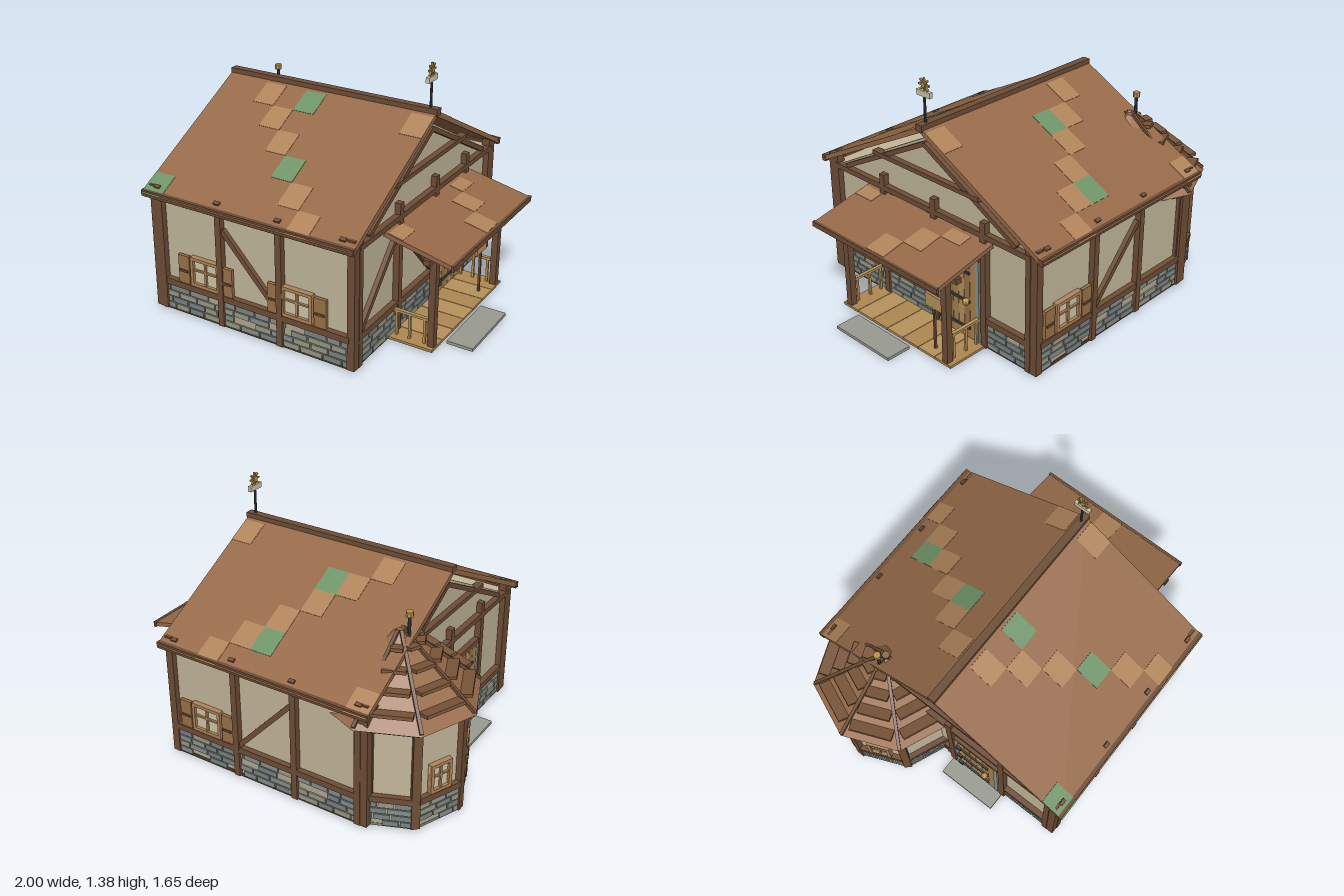
import * as THREE from 'three';

const TIMBER = 0x6f4e36, ROOF = 0x966a49, LIGHT = 0xb0845a, GREEN = 0x6f9468, PLASTER = 0xc4b89c;
const STONES = [0x87908c, 0x9a9a88, 0x7b8583], GROUT = 0xb3aa92, IRON = 0x3c4248, PLANK = 0xb8935c, GOLD = 0xb8924a;

const mats = {};
const mat = (c) => (mats[c] ??= new THREE.MeshStandardMaterial({ color: c, flatShading: true }));

function add(parent, name, geo, color, x = 0, y = 0, z = 0) {
  const m = new THREE.Mesh(geo, mat(color));
  m.name = name;
  m.position.set(x, y, z);
  parent.add(m);
  return m;
}
const box = (p, name, c, w, h, d, x, y, z) => add(p, name, new THREE.BoxGeometry(w, h, d), c, x, y, z);
// Box given by its lower and upper y
const post = (p, name, c, w, d, x, z, y0, y1) => box(p, name, c, w, y1 - y0, d, x, (y0 + y1) / 2, z);

// Beam between two points of a wall's own plane
function brace(p, name, x0, y0, x1, y1, w, d, z) {
  const m = box(p, name, TIMBER, Math.hypot(x1 - x0, y1 - y0), w, d, (x0 + x1) / 2, (y0 + y1) / 2, z);
  m.rotation.z = Math.atan2(y1 - y0, x1 - x0);
}

function group(parent, name, x = 0, y = 0, z = 0, turn = 0) {
  const g = new THREE.Group();
  g.name = name;
  g.position.set(x, y, z);
  g.rotation.y = turn;
  parent.add(g);
  return g;
}

let seed = 7;
const rnd = () => (seed = (seed * 16807) % 2147483647) / 2147483647;

// Rough courses of stone with a sill beam on top; the wall faces local +z
function stoneBase(p, x0, x1) {
  box(p, 'mortar', GROUT, x1 - x0, 0.145, 0.014, (x0 + x1) / 2, 0.0925, 0.005);
  for (let row = 0; row < 4; row++) {
    let x = x0 + 0.004 - (row % 2 ? 0.04 : 0);
    while (x < x1 - 0.02) {
      const w = 0.07 + rnd() * 0.06, a = Math.max(x, x0), b = Math.min(x + w, x1);
      if (rnd() > 0.1 && b - a > 0.015)
        box(p, 'stone', STONES[Math.floor(rnd() * 3)], b - a, 0.03, 0.02, (a + b) / 2, 0.038 + row * 0.036, 0.01);
      x += w + 0.008;
    }
  }
  box(p, 'sillBeam', TIMBER, x1 - x0, 0.035, 0.04, (x0 + x1) / 2, 0.185, 0.01);
}

function windowUnit(p, x, w, shutters) {
  const g = group(p, 'window', x, 0.287, 0.008);
  box(g, 'pane', 0xcfc8a8, w, 0.15, 0.01, 0, 0, 0);
  for (const s of [-1, 1]) {
    box(g, 'frameSide', LIGHT, 0.018, 0.165, 0.03, s * (w / 2 - 0.009), 0, 0.006);
    box(g, 'frameRail', LIGHT, w, 0.018, 0.03, 0, s * 0.074, 0.006);
    if (!shutters) continue;
    box(g, 'shutter', 0x9c7348, 0.07, 0.165, 0.018, s * (w / 2 + 0.045), -0.005, 0.008);
    box(g, 'shutterBatten', TIMBER, 0.055, 0.012, 0.008, s * (w / 2 + 0.045), -0.01, 0.02);
  }
  box(g, 'mullion', LIGHT, 0.012, 0.15, 0.02, 0, 0, 0.006);
  box(g, 'transom', LIGHT, w, 0.01, 0.02, 0, 0.01, 0.006);
}

function door(p, x) {
  const g = group(p, 'door', x, 0, 0.01);
  for (const s of [-1, 1]) post(g, 'doorJamb', 0x8d938c, 0.025, 0.04, s * 0.135, 0, 0.02, 0.53);
  box(g, 'doorLintel', TIMBER, 0.3, 0.03, 0.04, 0, 0.525, 0);
  for (let i = 0; i < 6; i++)
    post(g, 'doorPlank', [PLANK, 0x9c7646, 0xa9834f][i % 3], 0.039, 0.02, -0.102 + i * 0.041, 0.008, 0.025, 0.51);
  for (const y of [0.09, 0.25, 0.42]) {
    box(g, 'hinge', IRON, 0.21, 0.014, 0.01, -0.02, y, 0.022);
    box(g, 'hingeKnuckle', IRON, 0.03, 0.04, 0.02, -0.115, y, 0.022);
  }
  add(g, 'doorKnob', new THREE.SphereGeometry(0.02, 8, 6), GOLD, 0.065, 0.25, 0.03);
}

// Front and back walls share their framing; dir flips x for the turned wall
function longWall(root, name, z, turn, dir, windows) {
  const g = group(root, name, 0, 0, z, turn);
  stoneBase(g, dir > 0 ? -0.59 : -0.57, dir > 0 ? 0.57 : 0.59);
  for (const x of [-0.575, -0.2, 0.165]) post(g, 'wallPost', TIMBER, 0.035, 0.045, x * dir, 0.01, 0.02, 0.69);
  box(g, 'topBeam', TIMBER, 1.2, 0.035, 0.045, -0.015 * dir, 0.685, 0.01);
  brace(g, 'brace', -0.185 * dir, 0.575, 0.15 * dir, 0.21, 0.028, 0.03, 0.008);
  for (const x of windows) windowUnit(g, x * dir, 0.185, true);
}

// Gable: plaster triangle, rafters, collar, top beam, posts
function gableWall(root, name, x, turn, posts) {
  const g = group(root, name, x, 0, 0, turn);
  const tri = new THREE.Shape([[-0.7, 0.68], [0.7, 0.68], [0, 1.06]].map((q) => new THREE.Vector2(...q)));
  add(g, 'gablePlaster', new THREE.ExtrudeGeometry(tri, { depth: 0.03, bevelEnabled: false }), PLASTER, 0, 0, -0.03);
  for (const s of [-1, 1]) {
    brace(g, 'gableRafter', s * 0.63, 0.695, 0, 1.03, 0.026, 0.03, 0.01);
    post(g, 'innerCornerPost', TIMBER, 0.032, 0.045, s * 0.715, 0.008, 0.02, 0.74);
  }
  box(g, 'collarBeam', TIMBER, 0.78, 0.024, 0.045, 0, 0.862, 0.01);
  box(g, 'tieBeam', TIMBER, 1.46, 0.03, 0.045, 0, 0.675, 0.01);
  for (const px of posts) post(g, 'gablePost', TIMBER, 0.036, 0.045, px, 0.01, 0.02, 0.75);
  return g;
}

function mainRoof(root) {
  const g = group(root, 'mainRoof'), A = 0.483, L = 0.925, X0 = -0.65, W = 0.1265;
  const patches = { // [column, row from the eave, colour]
    '1': [[0, 0, GREEN], [7, 0], [6, 1], [5, 2, GREEN], [4, 3], [3, 4], [2, 5], [4, 5, GREEN], [9, 5]],
    '-1': [[0, 0], [7, 0], [6, 1], [5, 1, GREEN], [5, 2], [4, 3], [4, 4, GREEN], [3, 4], [2, 5], [9, 5]],
  };
  for (const s of [1, -1]) {
    const lay = (name, c, w, h, len, x, d, up) => {
      const m = box(g, name, c, w, h, len, x, 1.112 - d * Math.sin(A) + up * Math.cos(A), s * (d * Math.cos(A) + up * Math.sin(A)));
      m.rotation.x = s * A;
    };
    lay('roofSlope', ROOF, 1.265, 0.026, L, X0 + 0.6325, L / 2, 0);
    for (const [c, r, col = LIGHT] of patches[s]) lay('roofPatch', col, W, 0.004, 0.148, X0 + (c + 0.5) * W, L - (r + 0.5) * 0.148, 0.013);
    for (const x of [-0.58, -0.2, 0.165, 0.535]) lay('roofPeg', TIMBER, 0.034, 0.014, 0.02, x, L - 0.06, 0.016);
    box(g, 'eaveBeam', TIMBER, 1.27, 0.034, 0.028, -0.0175, 0.692, s * 0.805);
  }
  box(g, 'ridgeBeam', TIMBER, 1.275, 0.036, 0.044, -0.015, 1.124, 0);
}

function porch(root) {
  const g = group(root, 'porch');
  for (let i = 0; i < 7; i++) box(g, 'floorPlank', i % 2 ? PLANK : 0xae8852, 0.25, 0.014, 0.117, 0.715, 0.022, -0.36 + i * 0.12);
  box(g, 'porchStep', 0x9a9c90, 0.145, 0.017, 0.41, 0.927, 0.0085, 0.075);
  const roof = group(g, 'porchRoof', 0.58, 0.63, 0);
  roof.rotation.z = -0.22;
  box(roof, 'porchSlope', ROOF, 0.39, 0.024, 0.93, 0.195, 0, 0);
  for (const [x0, x1, z0] of [[0.02, 0.1, -0.335], [0.1, 0.235, -0.2], [0.235, 0.37, -0.07], [0.02, 0.1, 0.33]])
    box(roof, 'porchPatch', LIGHT, x1 - x0, 0.004, 0.13, (x0 + x1) / 2, 0.012, z0 + 0.065);
  box(g, 'porchFascia', TIMBER, 0.016, 0.03, 0.94, 0.955, 0.547, 0);
  box(g, 'porchHeader', TIMBER, 0.036, 0.03, 0.94, 0.817, 0.54, 0);
  for (const s of [-1, 1]) {
    post(g, 'porchPost', TIMBER, 0.036, 0.038, 0.817, s * 0.375, 0.02, 0.54);
    box(g, 'handRail', PLANK, 0.22, 0.014, 0.02, 0.7, 0.172, s * 0.375);
    for (const x of [0.615, 0.69, 0.775]) post(g, 'baluster', PLANK, 0.013, 0.013, x, s * 0.375, 0.025, 0.17);
  }
  // Small board on a stake
  post(g, 'signStake', TIMBER, 0.012, 0.012, 0.783, -0.25, 0.025, 0.3);
  box(g, 'signBoard', PLANK, 0.014, 0.075, 0.12, 0.783, 0.307, -0.25);
}

// Octagonal bay at the left rear corner of the plan
function bay(root) {
  const g = group(root, 'bay', -0.57, 0, -0.385), R = 0.36;
  const prism = (name, c, r0, r1, y0, y1) =>
    add(g, name, new THREE.CylinderGeometry(r1, r0, y1 - y0, 8), c, 0, (y0 + y1) / 2, 0).rotation.y = Math.PI / 2;
  prism('bayFloor', STONES[2], 0.375, 0.375, 0.015, 0.03);
  prism('bayWall', PLASTER, R, R, 0.03, 0.6);
  prism('bayEave', TIMBER, 0.39, 0.39, 0.572, 0.602);
  prism('bayRoof', ROOF, 0.43, 0.02, 0.6, 0.94);
  const inner = R * Math.cos(Math.PI / 8), half = R * Math.sin(Math.PI / 8);
  for (let k = -2; k <= 2; k++) {
    const a = -Math.PI / 2 + k * Math.PI / 4;
    const p = group(g, 'bayCorner', 0, 0, 0, a);
    post(p, 'bayPost', TIMBER, 0.045, 0.04, 0, R, 0.02, 0.585);
    const rib = box(p, 'hipRib', TIMBER, 0.018, 0.018, 0.52, 0, 0.777, 0.222);
    rib.rotation.x = Math.atan2(0.34, 0.41);
  }
  for (let k = -2; k < 2; k++) {
    const a = -Math.PI / 2 + (k + 0.5) * Math.PI / 4;
    const f = group(g, 'bayFace', Math.sin(a) * inner, 0, Math.cos(a) * inner, a);
    stoneBase(f, -half + 0.01, half - 0.01);
    if (k === -1 || k === 0) windowUnit(f, 0, 0.13, false);
    // Raised slats on the bay roof
    const s = group(g, 'roofSlats', 0, 0, 0, a);
    for (let i = 0; i < 4; i++) {
      const r = 0.335 - i * 0.082, y = 0.94 - r * 0.9 / 1.02 + 0.028;
      box(s, 'slat', 0x7a5539, r * 0.7, 0.018, 0.065, 0, y, r + 0.005).rotation.x = -0.12;
    }
  }
  // Finial
  add(g, 'finialRod', new THREE.CylinderGeometry(0.009, 0.009, 0.13, 8), IRON, -0.05, 0.965, 0);
  add(g, 'finialCap', new THREE.CylinderGeometry(0.02, 0.02, 0.028, 8), GOLD, -0.05, 1.04, 0);
}

function sunVane(root) {
  const g = group(root, 'sunVane', 0.575, 0, 0);
  add(g, 'vaneRod', new THREE.CylinderGeometry(0.007, 0.007, 0.15, 8), IRON, 0, 1.205, 0);
  box(g, 'vaneBlock', 0xd0c8a8, 0.02, 0.03, 0.095, 0, 1.295, 0);
  add(g, 'vaneHub', new THREE.CylinderGeometry(0.015, 0.015, 0.018, 10), GOLD, 0, 1.34, 0).rotation.z = Math.PI / 2;
  for (let i = 0; i < 4; i++) box(g, 'vaneRay', GOLD, 0.01, 0.009, 0.075, 0, 1.34, 0).rotation.x = i * Math.PI / 4;
}

export function createModel() {
  seed = 7;
  const root = new THREE.Group();
  root.name = 'cottage';
  box(root, 'floorSlab', 0x4f3b28, 1.2, 0.02, 1.52, -0.015, 0.02, 0);
  box(root, 'wallCore', PLASTER, 1.17, 0.66, 1.49, -0.015, 0.36, 0);
  for (const s of [-1, 1]) for (const x of [-0.61, 0.58]) post(root, 'cornerPost', TIMBER, 0.042, 0.042, x, s * 0.754, 0.02, 0.73);
  longWall(root, 'frontWall', 0.746, 0, 1, [-0.3, 0.265]);
  longWall(root, 'backWall', -0.746, Math.PI, -1, [0.36]);

  // Entrance gable; its local x runs towards -z
  const right = gableWall(root, 'entranceGable', 0.572, Math.PI / 2, [-0.328, 0.06, 0.415]);
  stoneBase(right, -0.7, 0.05);
  stoneBase(right, 0.43, 0.7);
  brace(right, 'brace', -0.69, 0.21, -0.37, 0.55, 0.028, 0.03, 0.008);
  brace(right, 'brace', -0.26, 0.54, 0.05, 0.21, 0.028, 0.03, 0.008);
  door(right, 0.235);

  // Rear-door gable; its local x runs towards +z
  const left = gableWall(root, 'bayGable', -0.602, -Math.PI / 2, [0.06, 0.41]);
  stoneBase(left, 0, 0.07);
  stoneBase(left, 0.4, 0.7);
  door(left, 0.235);
  box(root, 'rearStep', 0x9a9c90, 0.135, 0.017, 0.355, -0.667, 0.0085, 0.232);

  mainRoof(root);
  porch(root);
  bay(root);
  sunVane(root);
  return root;
}
